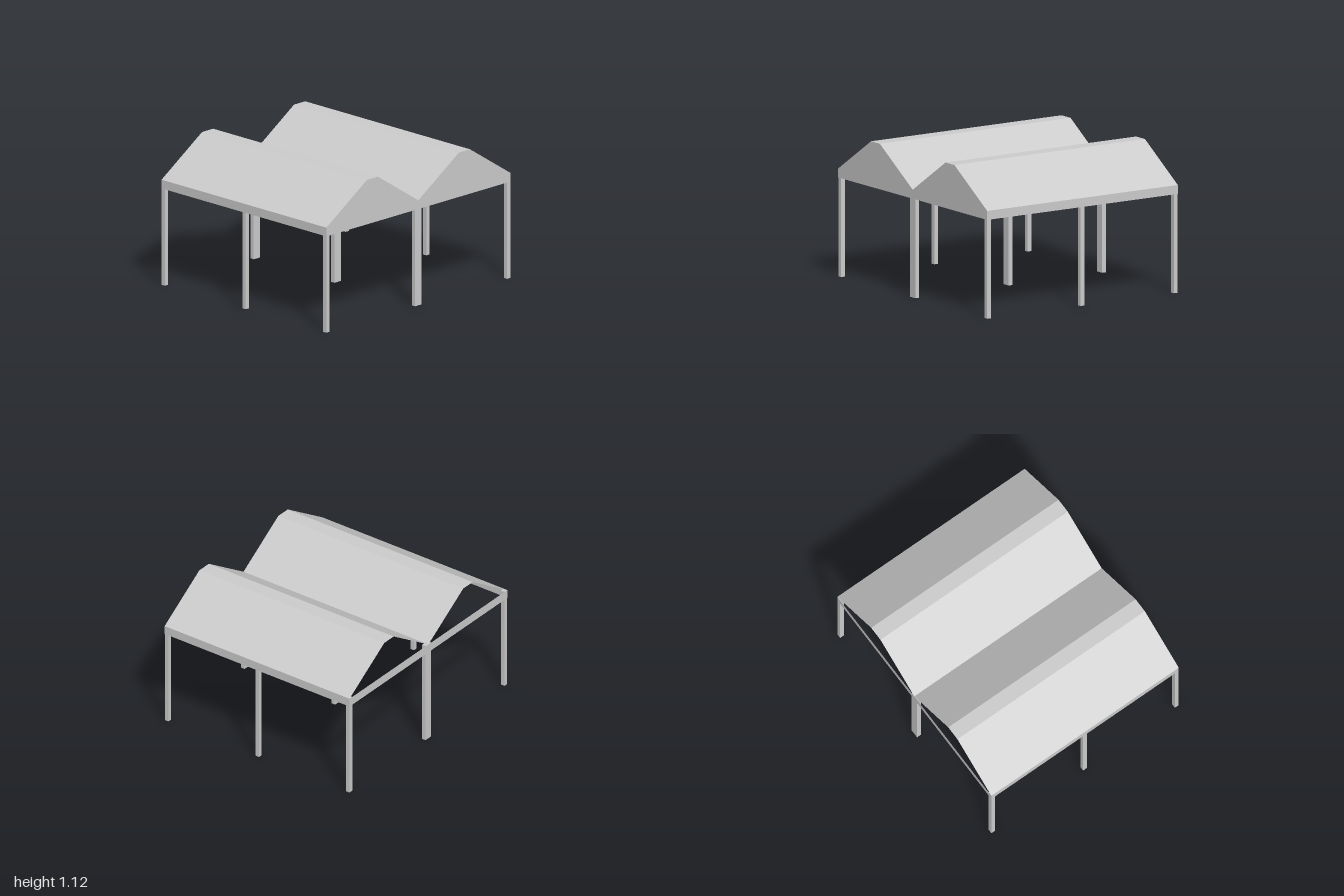
import * as THREE from 'three';

const HALF_Z = 0.885, BEAM_Y = 0.77, EAVE_Y = 0.84, RIDGE_Y = 1.125;
const POST = 0.035, INSET = 0.001;

// Roof line from one eave, over both ridges, to the other eave
const roofLine = [
  [-1, EAVE_Y], [-0.56, RIDGE_Y], [-0.44, RIDGE_Y], [0, EAVE_Y],
  [0.44, RIDGE_Y], [0.56, RIDGE_Y], [1, EAVE_Y],
];

export function createModel() {
  const model = new THREE.Group();
  model.name = 'twinGableShelter';
  const solid = new THREE.MeshStandardMaterial({ color: 0xcccccc });
  const sheet = new THREE.MeshStandardMaterial({ color: 0xcccccc, side: THREE.DoubleSide });

  const add = (name, geometry, material, x = 0, y = 0, z = 0, turn = 0) => {
    const mesh = new THREE.Mesh(geometry, material);
    mesh.name = name;
    mesh.position.set(x, y, z);
    mesh.rotation.y = turn;
    model.add(mesh);
  };

  // Thin roof swept from front to back, flat facets
  const positions = [];
  for (let i = 0; i < roofLine.length - 1; i++) {
    const [ax, ay] = roofLine[i], [bx, by] = roofLine[i + 1];
    const a = [ax, ay, HALF_Z], b = [bx, by, HALF_Z];
    const c = [bx, by, -HALF_Z], d = [ax, ay, -HALF_Z];
    positions.push(...a, ...b, ...c, ...a, ...c, ...d);
  }
  const roof = new THREE.BufferGeometry();
  roof.setAttribute('position', new THREE.Float32BufferAttribute(positions, 3));
  roof.computeVertexNormals();
  add('roof', roof, sheet);

  // Closed front gable wall, including its lower band
  const outline = [[1, BEAM_Y], [-1, BEAM_Y], ...roofLine];
  const gable = new THREE.Shape(outline.map(([x, y]) => new THREE.Vector2(x, y)));
  add('frontGable', new THREE.ShapeGeometry(gable), sheet, 0, 0, HALF_Z);

  // Thin bands along the open back and both sides
  const bandH = EAVE_Y - BEAM_Y, bandY = (EAVE_Y + BEAM_Y) / 2;
  add('backBand', new THREE.PlaneGeometry(2, bandH), sheet, 0, bandY, -HALF_Z, Math.PI);
  for (const side of [-1, 1]) {
    add(side < 0 ? 'rightBand' : 'leftBand', new THREE.PlaneGeometry(2 * HALF_Z, bandH),
      sheet, side, bandY, 0, side * Math.PI / 2);
  }

  // Three rows of posts, the ones under the valley twice as wide
  const postX = 1 - POST / 2 - INSET, postZ = HALF_Z - POST / 2 - INSET;
  for (const z of [-postZ, 0, postZ]) {
    for (const x of [-postX, 0, postX]) {
      const width = x === 0 ? POST * 2 : POST;
      add(x === 0 ? 'valleyPost' : 'sidePost', new THREE.BoxGeometry(width, EAVE_Y, POST),
        solid, x, EAVE_Y / 2, z);
    }
  }
  return model;
}
